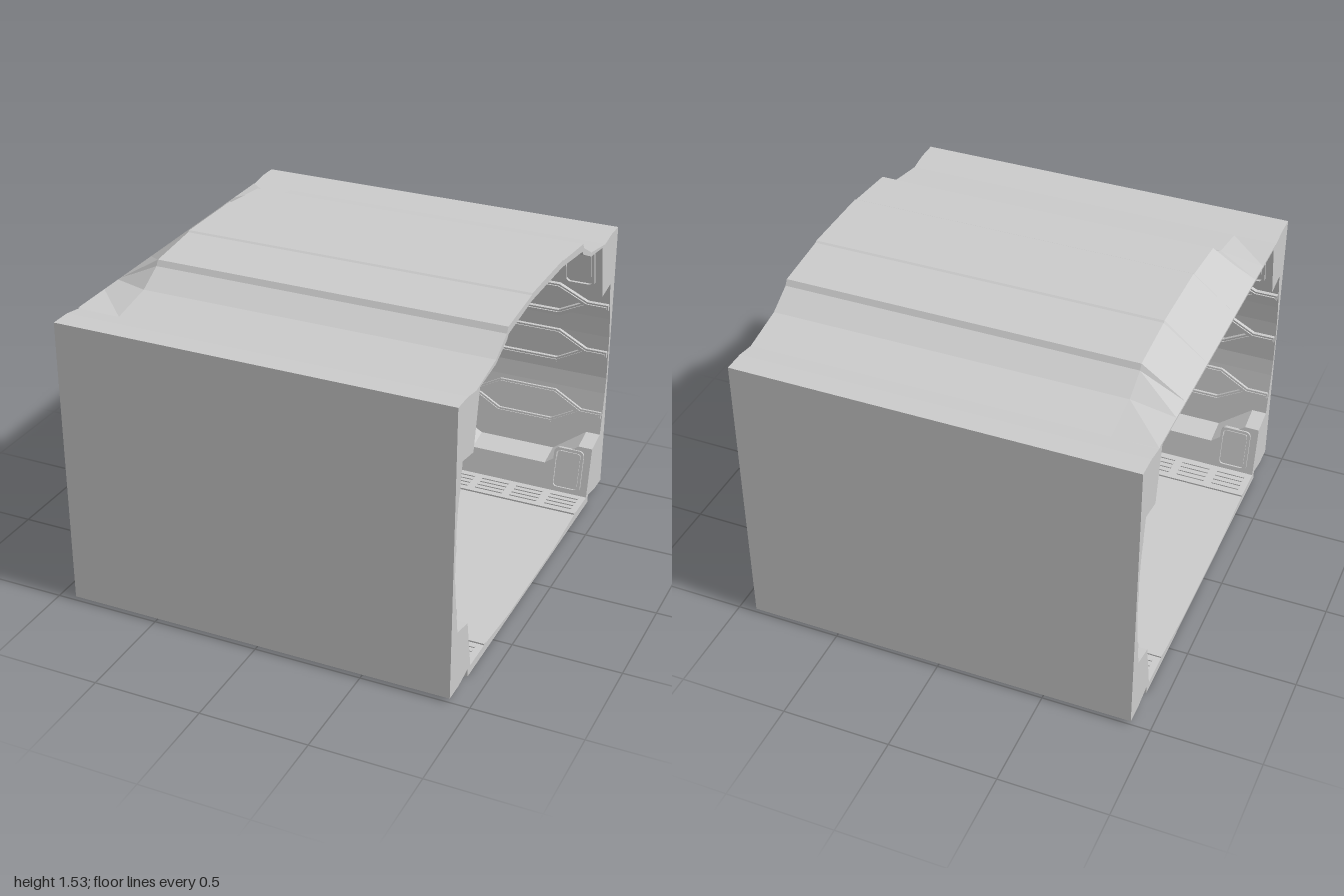
import * as THREE from 'three';

const HALF = 0.91; // half length along x
const material = new THREE.MeshStandardMaterial({ color: 0xcccccc, flatShading: true });

function mesh(name, geometry) {
  const m = new THREE.Mesh(geometry, material);
  m.name = name;
  return m;
}

// Skin a closed (z, y) cross-section, section(x), over stations along x, with end caps
function loft(stations, section) {
  const rings = stations.map(section);
  const flat = (r) => r.map(([z, y]) => new THREE.Vector2(z, y));
  if (!THREE.ShapeUtils.isClockWise(flat(rings[rings.length - 1]))) rings.forEach((r) => r.reverse());
  const pos = [];
  const put = (i, j) => pos.push(stations[i], rings[i][j][1], rings[i][j][0]);
  const n = rings[0].length;
  for (let i = 0; i < stations.length - 1; i++) {
    for (let j = 0; j < n; j++) {
      const k = (j + 1) % n;
      put(i, j); put(i, k); put(i + 1, k);
      put(i, j); put(i + 1, k); put(i + 1, j);
    }
  }
  for (const i of [0, stations.length - 1]) {
    const pts = flat(rings[i]);
    for (const [a, b, c] of THREE.ShapeUtils.triangulateShape(pts, [])) {
      const clockwise = THREE.ShapeUtils.isClockWise([pts[a], pts[b], pts[c]]);
      const order = clockwise === (i > 0) ? [a, b, c] : [a, c, b];
      order.forEach((v) => put(i, v));
    }
  }
  const g = new THREE.BufferGeometry();
  g.setAttribute('position', new THREE.Float32BufferAttribute(pos, 3));
  g.computeVertexNormals();
  return g;
}

// How far the stepped panels shrink back at x: 0 at posts, 1 between them
function dip(x) {
  const a = Math.abs(x);
  if (a < 0.3) return THREE.MathUtils.clamp((a - 0.08) / 0.22, 0, 1);
  return THREE.MathUtils.clamp((0.84 - a) / 0.16, 0, 1);
}

function wallSection(x) {
  const d = dip(x) * 0.115;
  const low = 0.285 - d, high = 1.1 + d;
  return [
    [1, 0.02], [1, 1.385], [0.9, 1.385], [0.81, 1.37], [0.77, 1.37],
    [0.82 - d * 0.19, high], [0.935 - d * 0.17, high + 0.018],
    [0.97, 0.92], [0.98, 0.82], [0.98, 0.6], [0.97, 0.52],
    [0.935 - d * 0.17, low + 0.025], [0.82 - d * 0.2, low],
    [0.77, 0.04], [0.8, 0.04], [0.9, 0.02],
  ];
}

// Half profile mirrored in z
const mirrored = (half) => [...half, ...half.map(([z, y]) => [-z, y]).reverse()];

function roofSection(x) {
  const k = x < -0.9 ? 0 : 1;
  const outer = [[0.81, 1.37], [0.6, 1.41], [0.485, 1.475], [0.47, 1.5], [0.2, 1.527], [0.19, 1.533]];
  const inner = [[0.77, 1.367], [0.6, 1.39], [0.48, 1.445], [0.465, 1.465], [0.19, 1.5]];
  const sink = (pts, base) => pts.map(([z, y]) => [z, base + (y - base) * k]);
  return [...mirrored(sink(outer, 1.375)), ...mirrored(sink(inner, 1.365)).reverse()];
}

// Ribbed bar lying in the local xy plane, from a to b
function bar(a, b) {
  const g = new THREE.Group();
  const length = Math.hypot(b[0] - a[0], b[1] - a[1]);
  g.add(mesh('ribBase', new THREE.BoxGeometry(length + 0.012, 0.03, 0.028)));
  g.add(mesh('ribCrest', new THREE.BoxGeometry(length, 0.012, 0.04)));
  g.position.set((a[0] + b[0]) / 2, (a[1] + b[1]) / 2, 0);
  g.rotation.z = Math.atan2(b[1] - a[1], b[0] - a[0]);
  g.name = 'rib';
  return g;
}

// Row of long hexagons joined by short links
function ribRow(y, z, tilt) {
  const row = new THREE.Group();
  row.name = 'hexagonRibRow';
  for (const cx of [-0.52, 0.52]) {
    const hex = [[-0.28, 0], [-0.14, 0.075], [0.14, 0.075], [0.28, 0], [0.14, -0.075], [-0.14, -0.075]]
      .map(([px, py]) => [px + cx, py]);
    hex.forEach((p, i) => row.add(bar(p, hex[(i + 1) % 6])));
  }
  row.add(bar([-0.24, 0], [0.24, 0]), bar([-0.9, 0], [-0.8, 0]), bar([0.8, 0], [0.9, 0]));
  row.position.set(0, y, z);
  row.rotation.x = tilt;
  return row;
}

function roundedRect(Type, w, h, r) {
  const s = new Type();
  const x = w / 2, y = h / 2;
  s.absarc(x - r, y - r, r, 0, Math.PI / 2);
  s.absarc(-x + r, y - r, r, Math.PI / 2, Math.PI);
  s.absarc(-x + r, -y + r, r, Math.PI, Math.PI * 1.5);
  s.absarc(x - r, -y + r, r, Math.PI * 1.5, Math.PI * 2);
  s.closePath();
  return s;
}

// Rounded frame with a slightly lower plate inside
function hatch(x, y, z, tilt) {
  const g = new THREE.Group();
  g.name = 'hatch';
  const frame = roundedRect(THREE.Shape, 0.15, 0.215, 0.025);
  frame.holes.push(roundedRect(THREE.Path, 0.126, 0.19, 0.018));
  const solid = (shape, depth) => new THREE.ExtrudeGeometry(shape, { depth, bevelEnabled: false, curveSegments: 4 })
    .translate(0, 0, -depth / 2);
  g.add(mesh('hatchFrame', solid(frame, 0.022)));
  g.add(mesh('hatchPlate', solid(roundedRect(THREE.Shape, 0.115, 0.18, 0.015), 0.012)));
  g.position.set(x, y, z);
  g.rotation.x = tilt;
  return g;
}

// One side: wall, ribs, hatches and floor grille, built on the +z side
function buildSide(name) {
  const side = new THREE.Group();
  side.name = name;
  const stations = [-HALF, -0.84, -0.68, -0.3, -0.08, 0.08, 0.3, 0.68, 0.84, HALF];
  side.add(mesh('wall', loft(stations, wallSection)));
  side.add(ribRow(0.41, 0.949, 0.165), ribRow(0.73, 0.976, 0), ribRow(0.99, 0.955, -0.18));
  for (const x of [-0.8, 0, 0.8]) {
    side.add(hatch(x, 0.16, 0.794, 0.2), hatch(x, 1.255, 0.791, -0.185));
  }
  const rail = mesh('floorRail', new THREE.BoxGeometry(2 * HALF, 0.012, 0.02));
  rail.position.set(0, 0.041, 0.6);
  side.add(rail);
  // Grille slats
  for (let i = 0; i < 10; i++) {
    for (let j = 0; j < 4; j++) {
      const slat = mesh('grilleSlat', new THREE.BoxGeometry(0.14, 0.006, 0.014));
      slat.position.set(-0.81 + i * 0.18, 0.042, 0.64 + j * 0.032);
      side.add(slat);
    }
  }
  return side;
}

export function createModel() {
  const model = new THREE.Group();
  model.name = 'corridorSection';

  const frontSide = buildSide('frontSide');
  const backSide = buildSide('backSide');
  backSide.rotation.y = Math.PI;
  model.add(frontSide, backSide);

  // Floor, dished towards the middle
  const floor = [...mirrored([[0.8, 0.04], [0.6, 0.04], [0.3, 0.015]]), [-0.8, 0], [0.8, 0]];
  model.add(mesh('floor', loft([-HALF, HALF], () => floor.map((p) => [...p]))));

  // Roof shell, sloping down to the wall tops at the -x end
  model.add(mesh('roof', loft([-HALF, -0.71, HALF], roofSection)));
  return model;
}
